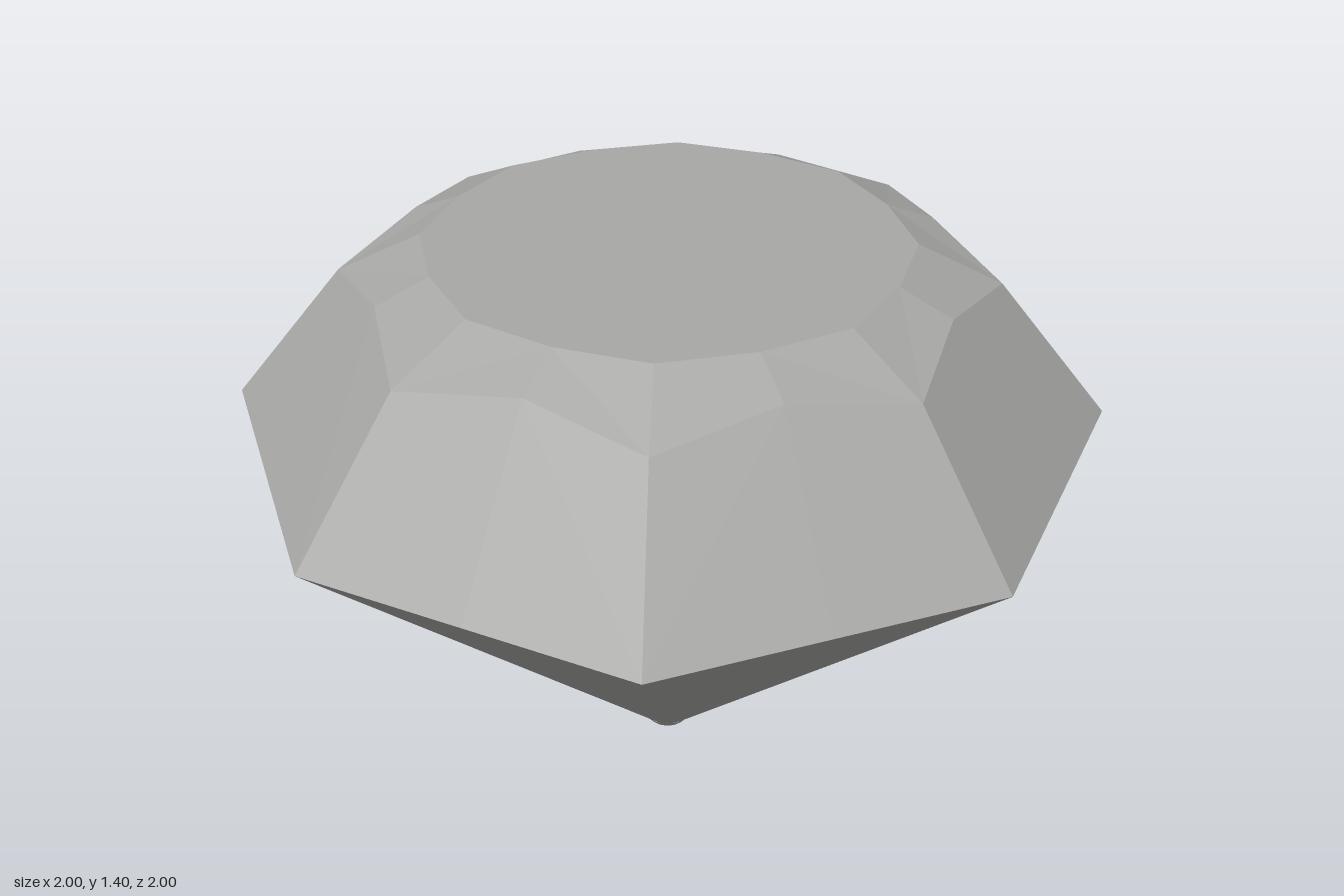
import * as THREE from 'three';

const SIDES = 16; // eight corners plus eight edge midpoints
const MID = Math.cos(Math.PI / 8); // midpoint radius of a straight octagon edge

// One ring: corners at radius r, height y; midpoints may differ
const ring = (r, y, midR = r * MID, midY = y) =>
  Array.from({ length: SIDES }, (_, i) => {
    const a = (i / SIDES) * Math.PI * 2;
    const odd = i % 2;
    const rad = odd ? midR : r;
    return [Math.sin(a) * rad, odd ? midY : y, Math.cos(a) * rad];
  });

// Facets between two rings, lower one first
function band(lower, upper) {
  const p = [];
  for (let i = 0; i < SIDES; i++) {
    const j = (i + 1) % SIDES;
    // mirror the diagonal on alternate facets so each octagon side is symmetric
    if (i % 2) p.push(lower[i], lower[j], upper[i], lower[j], upper[j], upper[i]);
    else p.push(lower[i], lower[j], upper[j], lower[i], upper[j], upper[i]);
  }
  return facets(p);
}

// Flat-shaded geometry from loose triangle corners
function facets(points) {
  const g = new THREE.BufferGeometry();
  g.setAttribute('position', new THREE.Float32BufferAttribute(points.flat(), 3));
  g.computeVertexNormals();
  return g;
}

export function createModel() {
  const gem = new THREE.Group();
  gem.name = 'gem';
  const stone = new THREE.MeshStandardMaterial({ color: 0xa8a8a6 });
  stone.name = 'grey stone';
  const add = (name, geometry) => {
    const mesh = new THREE.Mesh(geometry, stone);
    mesh.name = name;
    gem.add(mesh);
  };

  const tipRing = ring(0.07, 0.045, 0.068);
  const girdle = ring(1, 0.99);
  const crownRing = ring(0.735, 1.31, 0.65, 1.35);
  const tableRing = ring(0.545, 1.4, 0.53);

  // Pointed underside, sloping crown and the narrow bevel around the table
  add('pavilion', band(tipRing, girdle));
  add('crown', band(girdle, crownRing));
  add('bevel', band(crownRing, tableRing));

  // Flat top
  const top = [];
  tableRing.forEach((p, i) => top.push([0, 1.4, 0], p, tableRing[(i + 1) % SIDES]));
  add('table', facets(top));

  // Small rounded point at the bottom
  const tip = [[0, 0], [0.025, 0.004], [0.05, 0.02], [0.069, 0.045]].map(([x, y]) => new THREE.Vector2(x, y));
  add('roundedTip', new THREE.LatheGeometry(tip, SIDES));

  return gem;
}
